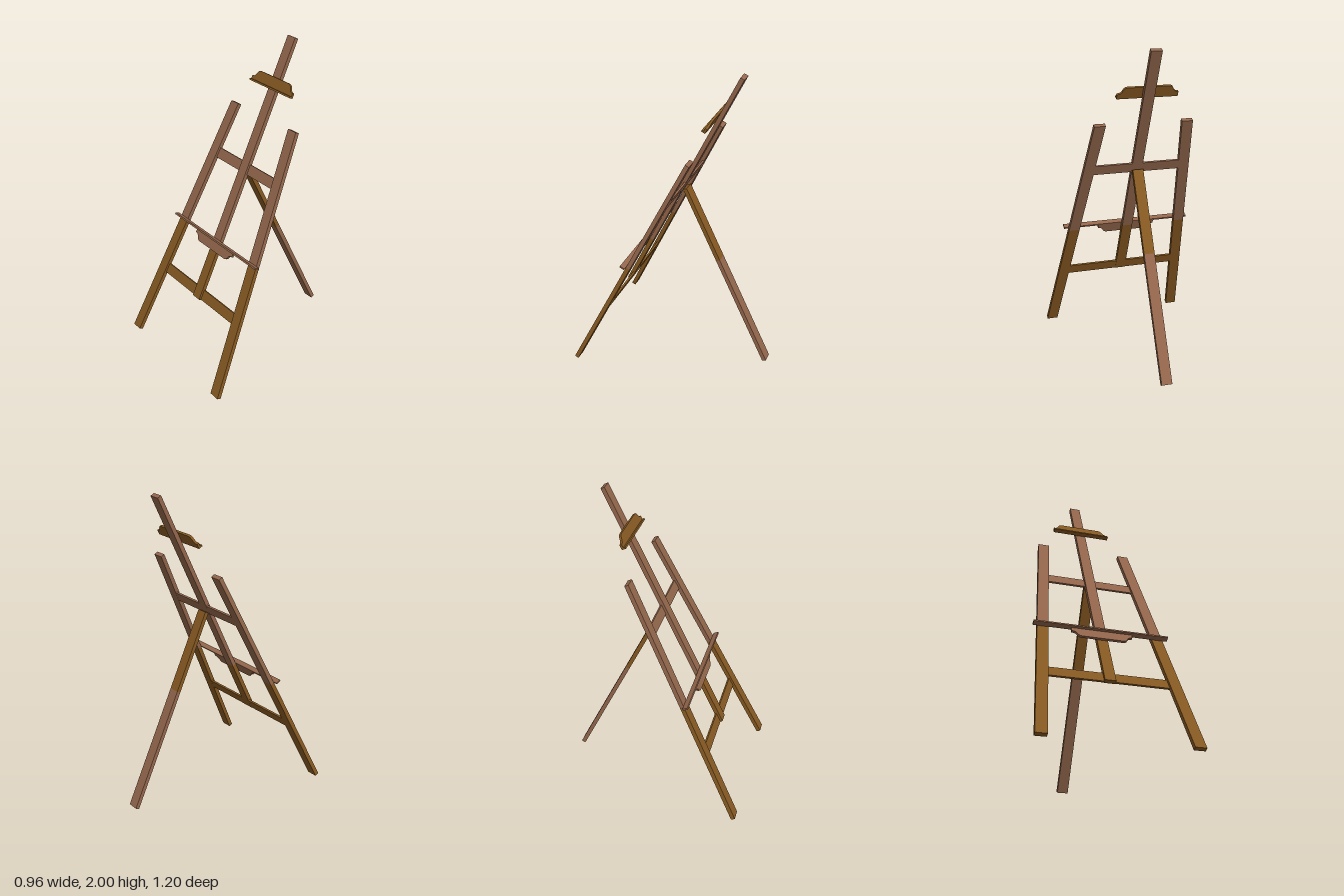
import * as THREE from 'three';

const LEAN = Math.atan(0.4776);   // tilt of the frame and of the rear leg
const T = 0.027;                  // timber thickness
const SPLIT = 0.855;              // height along the slope where the wood tone changes

const rosyWood = new THREE.MeshStandardMaterial({ color: 0x94674c });
const goldenWood = new THREE.MeshStandardMaterial({ color: 0x885a22 });

// Flat board from a 2D outline, spanning depth z0..z1
function board(name, points, z0, z1, material) {
  const shape = new THREE.Shape(points.map(([x, y]) => new THREE.Vector2(x, y)));
  const geometry = new THREE.ExtrudeGeometry(shape, { depth: z1 - z0, bevelEnabled: false });
  geometry.translate(0, 0, z0);
  const mesh = new THREE.Mesh(geometry, material);
  mesh.name = name;
  return mesh;
}

// Rectangular board centred on x = 0
const plank = (name, halfWidth, y0, y1, z0, z1, material) =>
  board(name, [[-halfWidth, y0], [halfWidth, y0], [halfWidth, y1], [-halfWidth, y1]], z0, z1, material);

// Scalloped outline: full width at y0, narrowing with a curve towards y0 + h
function scallop(y0, h) {
  const side = [[0.19, 0], [0.19, 0.42], [0.172, 0.46], [0.162, 0.58], [0.153, 0.82], [0.144, 0.95], [0.13, 1]];
  const right = side.map(([x, t]) => [x, y0 + t * h]);
  const left = right.map(([x, y]) => [-x, y]).reverse();
  return [...right, ...left];
}

export function createModel() {
  const model = new THREE.Group();
  model.name = 'easel';

  // Leaning front frame, built upright and then tilted back
  const frame = new THREE.Group();
  frame.name = 'frontFrame';
  frame.position.set(0, 0.0058, 0.588);
  frame.rotation.x = -LEAN;
  model.add(frame);

  // Splayed front legs in two tones
  const legTop = 1.694;
  const legX = (s) => 0.446 - 0.17 * s / legTop;
  const legPart = (name, side, s0, s1, material) => {
    const w = 0.035;
    frame.add(board(name, [
      [side * (legX(s0) - w), s0], [side * (legX(s0) + w), s0],
      [side * (legX(s1) + w), s1], [side * (legX(s1) - w), s1],
    ], -T / 2, T / 2, material));
  };
  for (const [label, side] of [['left', 1], ['right', -1]]) {
    legPart(label + 'LegLower', side, 0, SPLIT, goldenWood);
    legPart(label + 'LegUpper', side, SPLIT, legTop, rosyWood);
  }

  // Centre mast
  frame.add(plank('mastLower', 0.034, 0.452, SPLIT, -T / 2, T / 2, goldenWood));
  frame.add(plank('mastUpper', 0.034, SPLIT, 2.2034, -T / 2, T / 2, rosyWood));

  // Cross rails, set towards the back of the legs
  frame.add(plank('lowerRail', 0.385, 0.454, 0.521, -0.0132, -0.001, goldenWood));
  frame.add(plank('upperRail', 0.3, 1.319, 1.386, -0.0132, -0.001, rosyWood));

  // Canvas tray with its scalloped apron
  frame.add(plank('tray', 0.422, 0.852, 0.863, 0.0135, 0.047, rosyWood));
  frame.add(board('trayApron', scallop(0.854, -0.066), 0.0145, 0.03, rosyWood));

  // Upper canvas holder with its lip
  frame.add(board('holderBoard', scallop(1.865, 0.076), 0.0145, 0.029, goldenWood));
  frame.add(plank('holderLip', 0.19, 1.865, 1.876, 0.029, 0.042, goldenWood));

  // Rear leg, leaning forward to meet the mast
  const rear = new THREE.Group();
  rear.name = 'rearLeg';
  rear.position.set(0, 0.0058, -0.588);
  rear.rotation.x = LEAN;
  rear.add(plank('rearLegLower', 0.034, 0, 0.8, -T / 2, T / 2, rosyWood));
  rear.add(plank('rearLegUpper', 0.034, 0.8, 1.331, -T / 2, T / 2, goldenWood));
  model.add(rear);

  return model;
}
